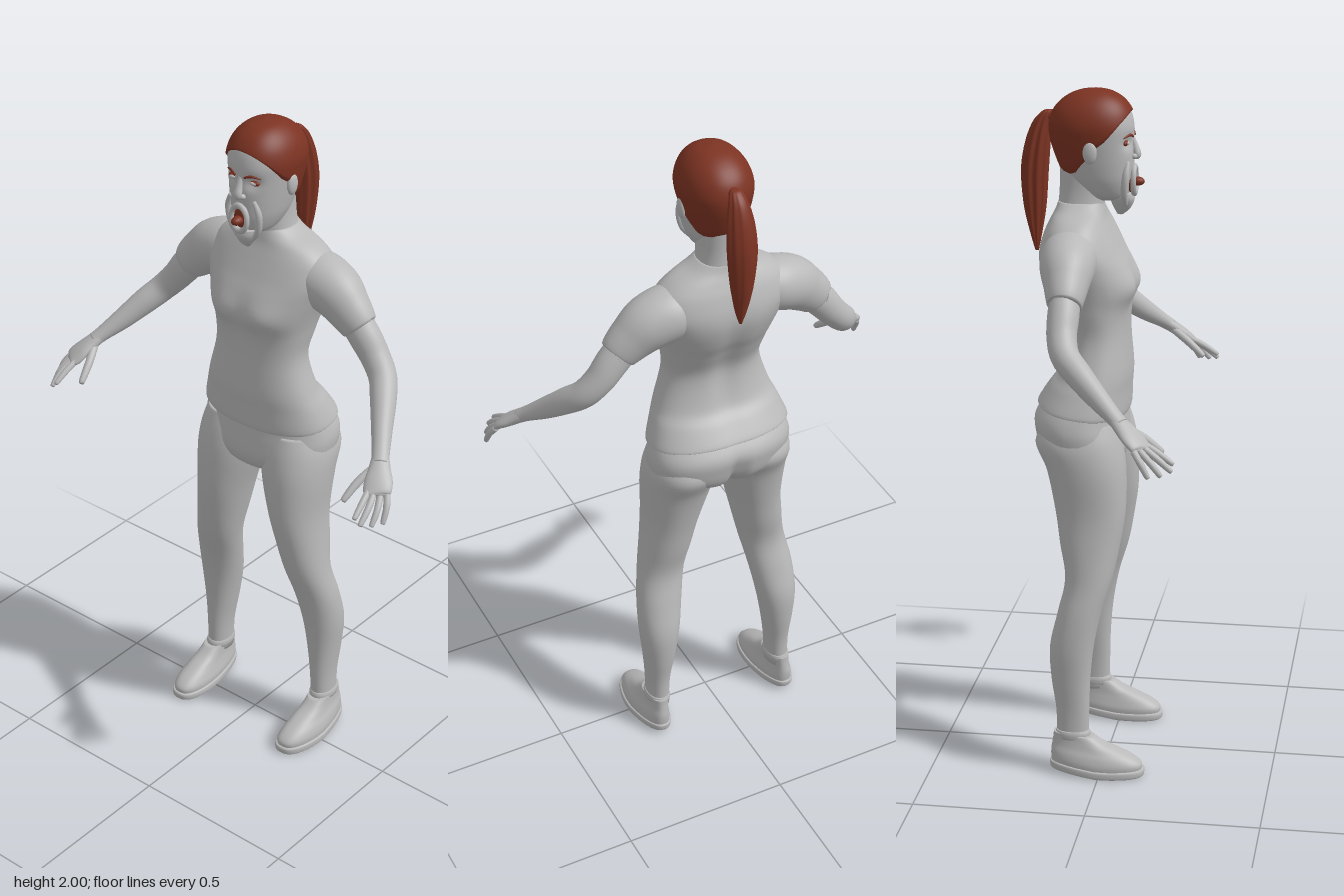
import * as THREE from 'three';

const skin = new THREE.MeshStandardMaterial({ color: 0xb9b9b9 });
skin.name = 'light grey';
const hair = new THREE.MeshStandardMaterial({ color: 0x7c3322 });
hair.name = 'auburn';

const V = (x, y, z) => new THREE.Vector3(x, y, z);
const bump = (d, w) => Math.exp(-(d * d) / (w * w));

// Closed smooth skin from a point rule: angle a wraps round, v runs 0..1 along
function skinOf(rule, nu, nv) {
  const pos = [], idx = [];
  const ends = [V(0, 0, 0), V(0, 0, 0)];
  for (let j = 0; j <= nv; j++) {
    for (let i = 0; i < nu; i++) {
      const p = rule((i / nu) * Math.PI * 2, j / nv);
      pos.push(p.x, p.y, p.z);
      if (j === 0) ends[0].addScaledVector(p, 1 / nu);
      if (j === nv) ends[1].addScaledVector(p, 1 / nu);
    }
  }
  const c = nu * (nv + 1);
  ends.forEach(p => pos.push(p.x, p.y, p.z));
  for (let i = 0; i < nu; i++) {
    const k = (i + 1) % nu;
    for (let j = 0; j < nv; j++) {
      const a = j * nu + i, b = j * nu + k;
      idx.push(a, a + nu, b, b, a + nu, b + nu);
    }
    idx.push(c, i, k, c + 1, nv * nu + k, nv * nu + i);
  }
  const g = new THREE.BufferGeometry();
  g.setAttribute('position', new THREE.Float32BufferAttribute(pos, 3));
  g.setIndex(idx);
  g.computeVertexNormals();
  return g;
}

// Catmull-Rom blend of table rows at fractional row t
function rowAt(rows, t) {
  const n = rows.length - 1, i = Math.min(Math.floor(t), n - 1), f = t - i;
  const r = k => rows[Math.max(0, Math.min(n, k))];
  return rows[0].map((_, c) => {
    const [a, b, d, e] = [r(i - 1)[c], r(i)[c], r(i + 1)[c], r(i + 2)[c]];
    return b + 0.5 * f * (d - a + f * (2 * a - 5 * b + 4 * d - e + f * (3 * (b - d) + e - a)));
  });
}

// Point on a horizontal section [y, xInner, xOuter, zFront, zBack]
function section([y, x0, x1, zf, zb], a, p) {
  const s = v => Math.sign(v) * Math.pow(Math.abs(v), 2 / p);
  return V((x0 + x1) / 2 + s(Math.cos(a)) * (x1 - x0) / 2, y,
    (zf + zb) / 2 + s(Math.sin(a)) * (zf - zb) / 2);
}
const loft = (rows, p = 2.2, shape = q => q, nu = 48, sub = 5) => skinOf((a, v) =>
  shape(section(rowAt(rows, v * (rows.length - 1)), a, p), a), nu, (rows.length - 1) * sub);
const even = rows => rows.map(([y, hx, zf, zb]) => [y, -hx, hx, zf, zb]);

// Sweep along rows [x, y, z, widthRadius, thickRadius]
function sweep(rows, nu = 20, sub = 5, up = V(0, 1, 0)) {
  const n = rows.length - 1;
  return skinOf((a, v) => {
    const r = rowAt(rows, v * n), d = 0.02;
    const p = rowAt(rows, Math.max(0, v * n - d)), q = rowAt(rows, Math.min(n, v * n + d));
    const t = V(q[0] - p[0], q[1] - p[1], q[2] - p[2]).normalize();
    const s = t.clone().cross(up).normalize(), m = s.clone().cross(t);
    return V(r[0], r[1], r[2]).addScaledVector(s, Math.cos(a) * r[3])
      .addScaledVector(m, Math.sin(a) * r[4]);
  }, nu, n * sub);
}

// Mirrored copy with the face order restored
function mirrored(geo) {
  const g = geo.clone().scale(-1, 1, 1), ix = g.index.array;
  for (let i = 0; i < ix.length; i += 3) [ix[i], ix[i + 1]] = [ix[i + 1], ix[i]];
  g.computeVertexNormals();
  return g;
}

export function createModel() {
  const model = new THREE.Group();
  model.name = 'standingWoman';
  const add = (name, geo, mat = skin) => {
    const m = new THREE.Mesh(geo, mat);
    m.name = name;
    model.add(m);
  };
  const pair = (name, geo, mat) => {
    add('left' + name, geo, mat);
    add('right' + name, mirrored(geo), mat);
  };
  const ball = (x, y, z, sx, sy, sz) =>
    new THREE.SphereGeometry(1, 20, 14).scale(sx, sy, sz).translate(x, y, z);

  // Shirt body with bust, spine hollow and a dipping hem
  add('shirt', loft(even([
    [1.1, 0.195, 0.035, -0.18], [1.088, 0.214, 0.056, -0.206], [1.15, 0.194, 0.061, -0.172],
    [1.2, 0.174, 0.064, -0.138], [1.3, 0.147, 0.057, -0.12], [1.38, 0.156, 0.058, -0.15],
    [1.44, 0.17, 0.067, -0.18], [1.5, 0.19, 0.055, -0.198], [1.55, 0.205, 0.032, -0.198],
    [1.6, 0.19, 0.008, -0.184], [1.635, 0.15, -0.008, -0.168], [1.66, 0.095, -0.015, -0.156],
    [1.68, 0.064, -0.02, -0.15]]), 2.3, p => {
    if (p.z > 0) p.z += 0.017 * bump(Math.abs(p.x) - 0.07, 0.06) * bump(p.y - 1.445, 0.05);
    if (p.z < -0.08) p.z += 0.014 * bump(p.x, 0.035) * bump(p.y - 1.36, 0.2);
    if (p.y < 1.2) p.y -= (p.z + 0.07) * 0.12 * (1.2 - p.y) / 0.1;
    return p;
  }, 64));

  // Trouser seat and legs
  add('trouserSeat', loft(even([
    [0.91, 0.03, 0.0, -0.08], [0.93, 0.12, 0.04, -0.15], [0.97, 0.2, 0.055, -0.197],
    [1.02, 0.217, 0.052, -0.213], [1.07, 0.21, 0.046, -0.212], [1.13, 0.185, 0.045, -0.165]]),
  2.3, p => {
    if (p.z < -0.1) p.z += 0.028 * bump(p.x, 0.022) * bump(p.y - 0.97, 0.07);
    return p;
  }, 64));
  pair('Leg', loft([
    [0.1, 0.175, 0.24, -0.035, -0.128], [0.2, 0.17, 0.241, -0.033, -0.13],
    [0.3, 0.155, 0.25, -0.03, -0.144], [0.4, 0.138, 0.259, -0.02, -0.148],
    [0.5, 0.12, 0.255, 0.0, -0.127], [0.6, 0.1, 0.238, 0.03, -0.107],
    [0.7, 0.078, 0.225, 0.05, -0.124], [0.8, 0.055, 0.217, 0.064, -0.14],
    [0.92, 0.022, 0.222, 0.063, -0.167], [1.0, 0.012, 0.218, 0.05, -0.2],
    [1.06, 0.03, 0.195, 0.03, -0.17]], 2.15, undefined, 36));
  pair('TrouserCuff', loft([
    [0.115, 0.172, 0.243, -0.03, -0.131], [0.13, 0.171, 0.244, -0.029, -0.133],
    [0.14, 0.174, 0.241, -0.034, -0.13]], 2.15, undefined, 30, 3));

  // Shoes: narrower heels, heel end slightly raised
  const foot = p => {
    const k = p.z < 0 ? 1 + p.z * 1.5 : 1;
    p.x = 0.214 + (p.x - 0.214) * k - Math.max(0, p.z) * 0.05;
    p.y += 0.11 * Math.max(0, -p.z);
    return p;
  };
  pair('Shoe', loft([
    [0.02, 0.163, 0.265, 0.122, -0.143], [0.04, 0.162, 0.266, 0.124, -0.145],
    [0.06, 0.167, 0.261, 0.102, -0.145], [0.08, 0.172, 0.252, 0.062, -0.142],
    [0.1, 0.174, 0.247, 0.015, -0.139], [0.12, 0.174, 0.245, -0.02, -0.137]],
  2.5, foot, 40));
  pair('ShoeSole', loft([
    [0.004, 0.162, 0.266, 0.122, -0.142], [0.007, 0.157, 0.271, 0.13, -0.147],
    [0.024, 0.157, 0.271, 0.131, -0.149], [0.027, 0.162, 0.266, 0.122, -0.143]],
  2.5, foot, 40, 3));

  // Sleeves and bare arms
  pair('Sleeve', sweep([
    [0.1, 1.56, -0.095, 0.06, 0.06], [0.15, 1.548, -0.094, 0.08, 0.078],
    [0.215, 1.525, -0.09, 0.076, 0.08], [0.265, 1.488, -0.085, 0.062, 0.069],
    [0.305, 1.452, -0.082, 0.05, 0.058], [0.309, 1.448, -0.082, 0.043, 0.05]], 32));
  pair('Arm', sweep([
    [0.27, 1.485, -0.083, 0.042, 0.048], [0.325, 1.425, -0.082, 0.044, 0.048],
    [0.365, 1.375, -0.08, 0.042, 0.043], [0.405, 1.33, -0.064, 0.04, 0.04],
    [0.44, 1.29, -0.022, 0.037, 0.038], [0.48, 1.24, 0.035, 0.03, 0.031],
    [0.515, 1.2, 0.085, 0.025, 0.022], [0.53, 1.182, 0.107, 0.025, 0.02]], 28));

  // Hands
  pair('Palm', sweep([
    [0.515, 1.2, 0.085, 0.022, 0.019], [0.535, 1.175, 0.115, 0.03, 0.019],
    [0.553, 1.152, 0.143, 0.039, 0.017], [0.565, 1.132, 0.165, 0.038, 0.014],
    [0.57, 1.126, 0.172, 0.028, 0.008]], 24));
  const fingers = {
    Thumb: [[0.52, 1.172, 0.117], [0.5, 1.14, 0.165], [0.488, 1.1, 0.212]],
    IndexFinger: [[0.542, 1.14, 0.165], [0.55, 1.115, 0.21], [0.555, 1.088, 0.25]],
    MiddleFinger: [[0.557, 1.135, 0.165], [0.57, 1.105, 0.21], [0.573, 1.073, 0.248]],
    RingFinger: [[0.573, 1.13, 0.16], [0.588, 1.1, 0.193], [0.592, 1.065, 0.222]],
    LittleFinger: [[0.588, 1.128, 0.15], [0.602, 1.1, 0.17], [0.606, 1.063, 0.19]],
  };
  for (const [name, [a, b, c]] of Object.entries(fingers)) {
    const r = name === 'Thumb' ? 0.012 : 0.0095;
    const tip = c.map((q, i) => q + (c[i] - b[i]) * 0.06);
    pair(name, sweep([[...a, r, r], [...b, r, r], [...c, r * 0.75, r * 0.75],
      [...tip, 0.002, 0.002]], 12, 4));
  }

  // Neck and head with eye sockets
  add('neck', loft(even([
    [1.62, 0.085, -0.01, -0.155], [1.66, 0.068, -0.018, -0.15],
    [1.72, 0.059, -0.015, -0.145], [1.8, 0.06, -0.01, -0.145]])));
  const headRows = even([
    [1.685, 0.025, 0.035, -0.06], [1.7, 0.05, 0.05, -0.085], [1.74, 0.07, 0.062, -0.118],
    [1.78, 0.08, 0.066, -0.14], [1.82, 0.087, 0.067, -0.155], [1.86, 0.093, 0.067, -0.166],
    [1.9, 0.096, 0.066, -0.168], [1.94, 0.085, 0.055, -0.154], [1.97, 0.064, 0.032, -0.125],
    [1.988, 0.037, 0.0, -0.088], [1.995, 0.002, -0.04, -0.044]]);
  add('head', loft(headRows, 2.15, p => {
    if (p.z > 0) p.z -= 0.012 * bump(Math.abs(p.x) - 0.036, 0.02) * bump(p.y - 1.852, 0.018);
    return p;
  }, 64));

  // Hair cap following the skull down to a hairline that drops behind the ears
  const line = [[-1, 1.752], [-0.5, 1.77], [-0.1, 1.81], [0.05, 1.835], [0.35, 1.86],
    [0.7, 1.905], [1.01, 1.938]];
  add('hairCap', skinOf((a, v) => {
    const s = Math.max(-1, Math.sin(a)), i = line.findIndex(([k]) => k > s) - 1;
    const [s0, y0] = line[i], [s1, y1] = line[i + 1];
    const edge = y0 + (y1 - y0) * (s - s0) / (s1 - s0);
    const y = edge + (1.995 - edge) * Math.sin(v * Math.PI / 2);
    let k = headRows.findIndex(r => r[0] >= y - 1e-9);
    k = k < 1 ? headRows.length - 1 : k;
    const f = (y - headRows[k - 1][0]) / (headRows[k][0] - headRows[k - 1][0]);
    const p = section(rowAt(headRows, k - 1 + f), a, 2.15), g = v === 0 ? 0.99 : 1.06;
    return V(p.x * g, p.y + 0.005 * v, -0.05 + (p.z + 0.05) * g);
  }, 72, 28), hair);

  // Ponytail with ridged strands and its tied root
  add('ponytail', loft(even([
    [1.53, 0.004, -0.208, -0.218], [1.58, 0.018, -0.198, -0.232], [1.66, 0.031, -0.185, -0.25],
    [1.76, 0.039, -0.178, -0.257], [1.84, 0.036, -0.172, -0.245], [1.9, 0.026, -0.168, -0.222],
    [1.93, 0.016, -0.165, -0.195], [1.935, 0.005, -0.17, -0.18]]), 2, (p, a) => {
    p.x *= 1 + 0.1 * Math.cos(9 * a);
    return p;
  }, 72), hair);
  add('hairTie', sweep([[0, 1.915, -0.145, 0.022, 0.022], [0, 1.918, -0.17, 0.017, 0.017],
    [0, 1.91, -0.195, 0.02, 0.016]], 16), hair);

  // Face features
  pair('Ear', ball(0.094, 1.832, -0.045, 0.011, 0.032, 0.02));
  pair('EyeRim', ball(0.036, 1.852, 0.047, 0.018, 0.0085, 0.009), hair);
  pair('Eyeball', ball(0.036, 1.852, 0.049, 0.013, 0.006, 0.01));
  pair('Eyebrow', sweep([[0.016, 1.868, 0.066, 0.003, 0.003], [0.036, 1.875, 0.06, 0.003, 0.004],
    [0.058, 1.868, 0.045, 0.002, 0.002]], 8), hair);
  add('noseBridge', sweep([[0, 1.868, 0.06, 0.008, 0.006], [0, 1.84, 0.068, 0.01, 0.01],
    [0, 1.815, 0.076, 0.014, 0.011], [0, 1.804, 0.07, 0.008, 0.006]], 16, 5, V(0, 0, 1)));
  pair('Nostril', ball(0.012, 1.811, 0.068, 0.009, 0.008, 0.01));

  // Wide open mouth, tongue, cheek folds and dropped chin
  add('mouthOpening', ball(0, 1.742, 0.058, 0.026, 0.036, 0.012), hair);
  add('lips', new THREE.TorusGeometry(0.027, 0.007, 10, 32).scale(1, 1.4, 1.2)
    .translate(0, 1.742, 0.068));
  add('tongue', ball(0, 1.738, 0.075, 0.015, 0.013, 0.022), hair);
  pair('CheekFold', sweep([[0.04, 1.8, 0.055, 0.006, 0.006], [0.054, 1.76, 0.05, 0.009, 0.01],
    [0.048, 1.71, 0.045, 0.009, 0.01], [0.025, 1.672, 0.045, 0.005, 0.006]],
  12, 5, V(0, 0, 1)));
  add('chin', loft(even([[1.642, 0.004, 0.035, 0.02], [1.66, 0.018, 0.056, 0.01],
    [1.685, 0.032, 0.068, 0.0], [1.705, 0.036, 0.065, 0.0]])));
  return model;
}
